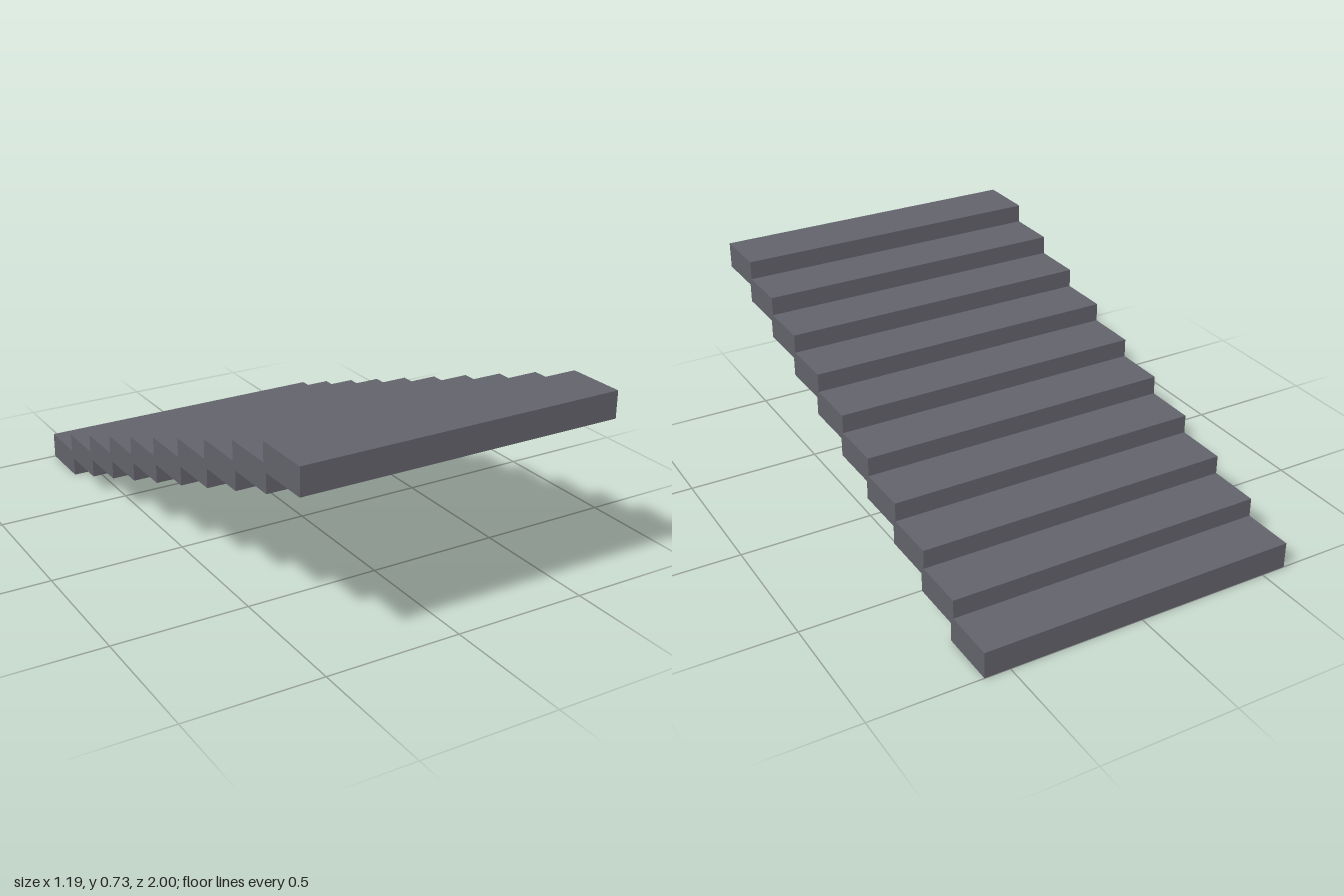
import * as THREE from 'three';

export function createModel() {
  const group = new THREE.Group();
  group.name = 'staircase';
  const slate = new THREE.MeshStandardMaterial({ color: 0x63636b });
  slate.name = 'slate grey';

  // Overlapping solid treads climbing from the back to the front
  const count = 10, width = 1.186, thickness = 0.098, depth = 0.215;
  const rise = (0.725 - thickness) / (count - 1);
  const run = (2 - depth) / (count - 1);
  const treadGeometry = new THREE.BoxGeometry(width, thickness, depth);

  for (let i = 0; i < count; i++) {
    const tread = new THREE.Mesh(treadGeometry, slate);
    tread.name = `step${i + 1}`;
    tread.position.set(0, thickness / 2 + i * rise, -1 + depth / 2 + i * run);
    group.add(tread);
  }
  return group;
}
